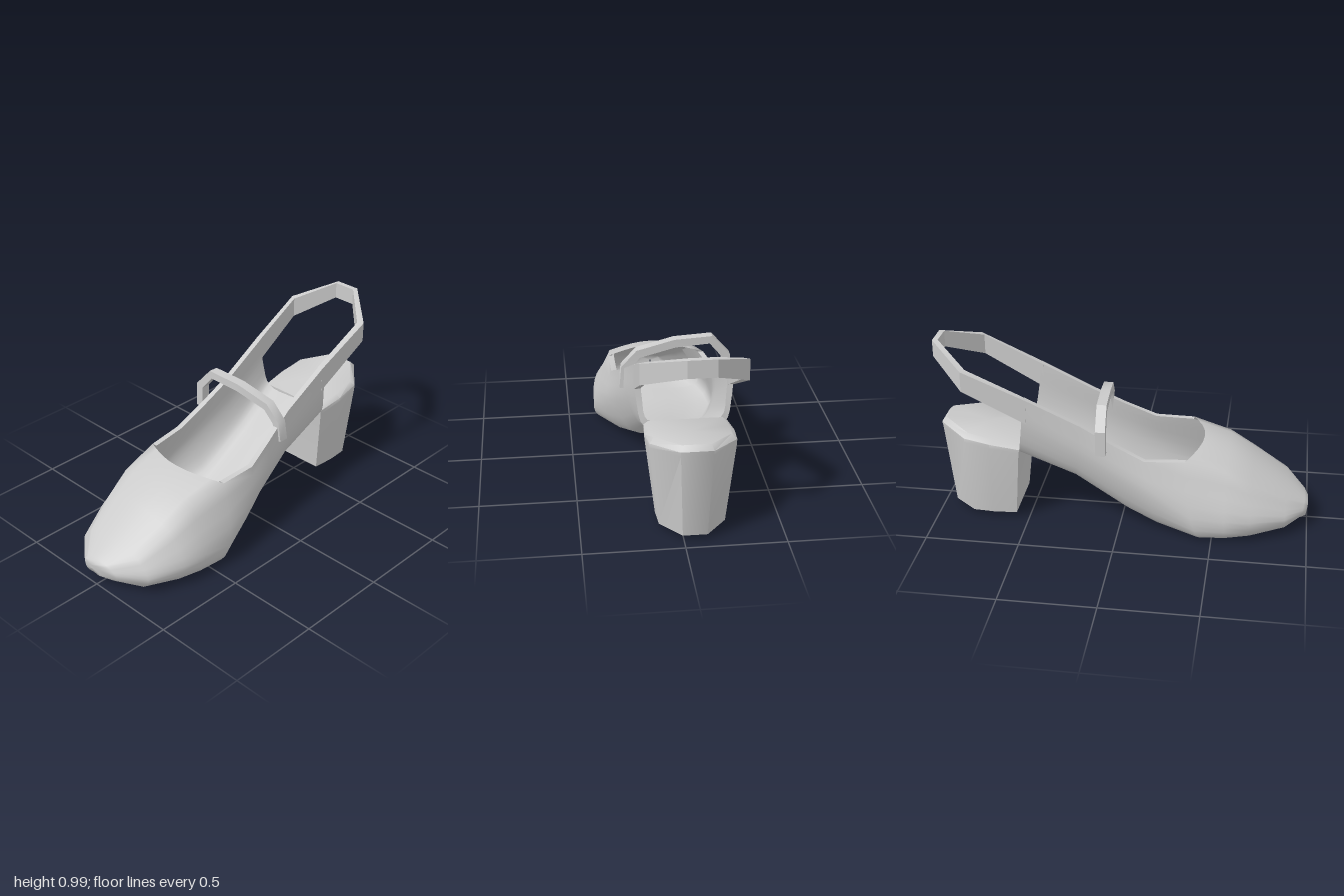
import * as THREE from 'three';
import { toCreasedNormals } from 'three/addons/utils/BufferGeometryUtils.js';

const material = new THREE.MeshStandardMaterial({ color: 0xcccccc, side: THREE.DoubleSide });

// Skin rows of [x, y, z] points; keep(row, column) can leave quads out.
function loft(rows, closed = false, keep = () => true) {
  const n = rows[0].length, index = [];
  for (let r = 0; r < rows.length - 1; r++) {
    for (let c = 0; c < (closed ? n : n - 1); c++) {
      if (!keep(r, c)) continue;
      const a = r * n + c, b = r * n + (c + 1) % n;
      index.push(a, b, a + n, b, b + n, a + n);
    }
  }
  const g = new THREE.BufferGeometry();
  g.setAttribute('position', new THREE.Float32BufferAttribute(rows.flat(2), 3));
  g.setIndex(index);
  g.computeVertexNormals();
  return g;
}

function part(group, name, geometry) {
  const mesh = new THREE.Mesh(geometry, material);
  mesh.name = name;
  group.add(mesh);
}

// Shoe cross-sections, toe to back. Half widths at rim, widest point and sole; heights of the same.
const keys = ['zRim', 'zBot', 'cx', 'rim', 'mid', 'bot', 'yRim', 'yMid', 'yBot', 'crown', 'lead'];
const stations = [
  [1.00, 1.00, -0.03, 0.002, 0.003, 0.002, 0.10, 0.09, 0.08, 0, 0],
  [1.00, 0.99, -0.03, 0.05, 0.06, 0.05, 0.12, 0.09, 0.05, 0.008, 0],
  [0.98, 0.96, 0.00, 0.08, 0.125, 0.10, 0.13, 0.09, 0.035, 0.012, 0],
  [0.88, 0.88, 0.015, 0.18, 0.25, 0.21, 0.19, 0.10, 0.022, 0.03, 0],
  [0.70, 0.70, 0.005, 0.23, 0.33, 0.29, 0.29, 0.12, 0.01, 0.05, 0],
  [0.56, 0.57, 0.00, 0.25, 0.35, 0.32, 0.37, 0.13, 0.005, 0.045, 0.01],
  [0.35, 0.43, 0.00, 0.27, 0.355, 0.33, 0.427, 0.14, 0.004, 0.023, 0.08],
  [0.14, 0.20, -0.015, 0.285, 0.315, 0.24, 0.43, 0.24, 0.035, 0, 0],
  [-0.03, 0.04, -0.025, 0.265, 0.275, 0.19, 0.51, 0.31, 0.09, 0, 0],
  [-0.20, -0.24, -0.035, 0.245, 0.245, 0.17, 0.60, 0.43, 0.265, 0, 0],
  [-0.49, -0.53, -0.05, 0.25, 0.242, 0.20, 0.745, 0.57, 0.405, 0, 0],
].map((row) => Object.fromEntries(keys.map((k, i) => [k, row[i]])));
const OPEN = 6; // station where the foot opening begins
const U = 24; // divisions from rim to rim under the foot

// U-shaped section: left rim, down the side, across the sole and up the other side.
function wallSection(s, inset = 0, lift = 0) {
  const zMid = (s.zRim + s.zBot) / 2;
  const side = (m) => [
    [s.cx + m * Math.max(s.rim - inset, 0.001), s.yRim, s.zRim],
    [s.cx + m * Math.max(s.mid - inset, 0.001), s.yMid, zMid],
    [s.cx + m * Math.max(s.bot - inset / 2, 0.001), s.yBot + lift + 0.012 * (s.mid > 0.1), s.zBot],
  ];
  const points = [...side(-1), [s.cx, s.yBot + lift, s.zBot], ...side(1).reverse()];
  const curve = new THREE.CatmullRomCurve3(points.map((p) => new THREE.Vector3(...p)));
  return curve.getPoints(U).map((p) => p.toArray());
}

// Points over the top of the foot, from the right-hand end of the U back to its start.
function crownSection(s) {
  return Array.from({ length: 7 }, (_, i) => {
    const a = Math.PI * (i + 1) / 8;
    return [s.cx + s.rim * (1 - (i + 1) / 4), s.yRim + s.crown * Math.sin(a),
      s.zRim + s.lead * Math.sin(a)];
  });
}

function addShoeBody(group) {
  const outer = stations.map((s) => wallSection(s));
  const inner = stations.slice(4).map((s) => wallSection(s, 0.03, 0.035));
  const rings = stations.map((s, i) => [...outer[i], ...crownSection(s)]);
  part(group, 'upper', loft(rings, true, (r, c) => c < U || r < OPEN));
  part(group, 'liningAndInsole', loft(inner));
  // Rim thickness along the opening and across the rear edge
  for (const end of [0, U]) {
    const rows = outer.slice(OPEN).map((row, i) => [row[end], inner[i + OPEN - 4][end]]);
    part(group, end ? 'leftRim' : 'rightRim', loft(rows));
  }
  part(group, 'rearEdge', loft([outer.at(-1), inner.at(-1)]));
}

// Block heel: flat front, chamfered back, with a sloping seat.
function addHeel(group) {
  const outline = [[-1, 0], [-1.05, 0.35], [-1, 0.66], [-0.37, 1], [0.37, 1], [1, 0.66], [1.05, 0.35], [1, 0]];
  const loop = (half, zFront, zBack, yFront, yBack) => outline.map(([x, t]) => [
    -0.055 + half * x, yFront + (yBack - yFront) * t, zFront + (zBack - zFront) * t]);
  const centre = (y, z) => outline.map(() => [-0.055, y, z]);
  const rows = [
    centre(0.02, -0.75),
    loop(0.165, -0.57, -0.93, 0.02, 0.02),
    loop(0.212, -0.535, -0.975, 0.41, 0.48),
    loop(0.212, -0.53, -0.98, 0.432, 0.505),
    loop(0.188, -0.53, -0.955, 0.45, 0.53),
    centre(0.49, -0.74),
  ];
  part(group, 'heel', toCreasedNormals(loft(rows, true), 0.85));
}

// Band with a four-cornered section and capped ends.
function band(rows) {
  const cap = (row) => row.map(() => [0, 1, 2].map((k) => row.reduce((sum, p) => sum + p[k] / 4, 0)));
  return toCreasedNormals(loft([cap(rows[0]), ...rows, cap(rows.at(-1))], true), 0.7);
}

function addSlingStrap(group) {
  // x, z, top height, bottom height around the back of the ankle
  const path = [
    [0.2, -0.48, 0.74, 0.605], [0.2, -0.82, 0.895, 0.785], [0, -1, 0.98, 0.89],
    [-0.14, -1, 0.98, 0.89], [-0.322, -0.81, 0.89, 0.78], [-0.3, -0.48, 0.74, 0.605],
  ];
  part(group, 'slingStrap', band(path.map(([x, z, top, bottom]) => {
    const xi = -0.06 + (x + 0.06) * 0.88, zi = -0.48 + (z + 0.48) * 0.945;
    return [[x, top, z], [x, bottom, z], [xi, bottom, zi], [xi, top, zi]];
  })));
}

function addInstepStrap(group) {
  const path = [
    [-0.325, 0.47, -0.085], [-0.325, 0.6, -0.085], [-0.242, 0.697, -0.09], [-0.05, 0.688, -0.1],
    [0.145, 0.643, -0.115], [0.215, 0.568, -0.12], [0.225, 0.46, -0.128],
  ];
  part(group, 'instepStrap', band(path.map(([x, y, z], i) => {
    const a = path[Math.max(i - 1, 0)], b = path[Math.min(i + 1, path.length - 1)];
    const length = Math.hypot(b[0] - a[0], b[1] - a[1]);
    const nx = -(b[1] - a[1]) / length * 0.022, ny = (b[0] - a[0]) / length * 0.022;
    return [[x + nx, y + ny, z + 0.026], [x + nx, y + ny, z - 0.026],
      [x - nx, y - ny, z - 0.026], [x - nx, y - ny, z + 0.026]];
  })));
}

export function createModel() {
  const group = new THREE.Group();
  group.name = 'slingbackShoe';
  addShoeBody(group);
  addHeel(group);
  addSlingStrap(group);
  addInstepStrap(group);
  return group;
}
